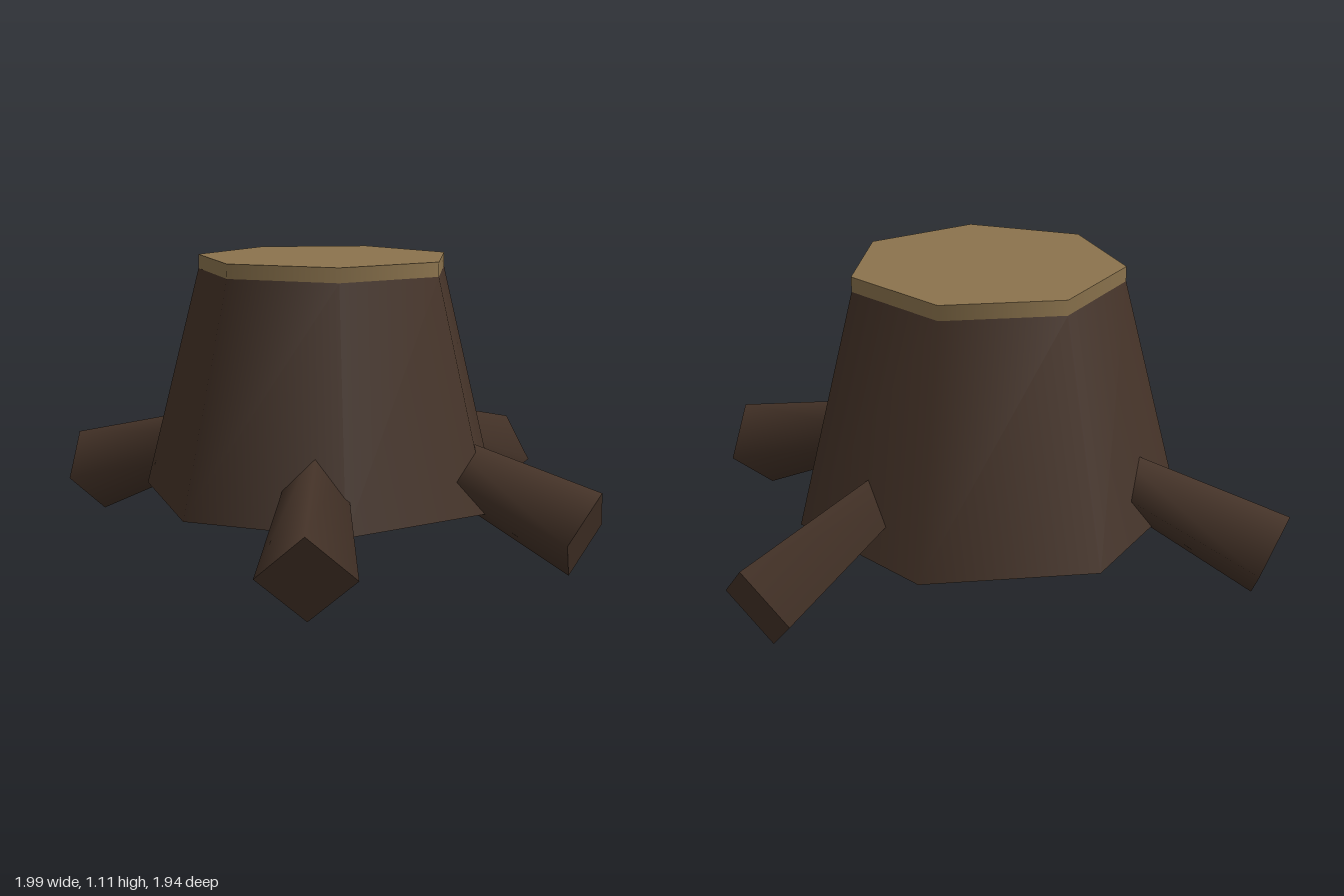
import * as THREE from 'three';

const bark = new THREE.MeshStandardMaterial({ name: 'darkBark', color: 0x453328 });
const wood = new THREE.MeshStandardMaterial({ name: 'cutWood', color: 0x8b734d });

const SIDES = 7;
const BASE_Y = 0.193, CUT_Y = 1.053, TOP_Y = 1.107;

// Upright tapered cylinder between two heights
function drum(name, rTop, rBottom, y0, y1, material) {
  const mesh = new THREE.Mesh(new THREE.CylinderGeometry(rTop, rBottom, y1 - y0, SIDES), material);
  mesh.name = name;
  mesh.position.y = (y0 + y1) / 2;
  return mesh;
}

// Four-sided root, thick end outward, sloping down to the ground
function root(name, degrees) {
  const length = 0.7, tilt = THREE.MathUtils.degToRad(19.6);
  const geometry = new THREE.CylinderGeometry(0.171, 0.097, length, 4);
  geometry.translate(0, -length / 2, 0);      // outer end at the origin
  geometry.rotateX(Math.PI / 2 + tilt);       // axis points outward and down
  geometry.translate(0, 0.161, 1.082);
  const mesh = new THREE.Mesh(geometry, bark);
  mesh.name = name;
  mesh.rotation.y = THREE.MathUtils.degToRad(degrees);
  return mesh;
}

export function createModel() {
  const stump = new THREE.Group();
  stump.name = 'treeStump';
  stump.position.set(0.025, 0, -0.163);

  stump.add(drum('trunk', 0.494, 0.715, BASE_Y, CUT_Y, bark));
  stump.add(drum('cutTop', 0.494, 0.494, CUT_Y, TOP_Y, wood));

  // Roots radiate from the trunk axis
  const roots = { frontRoot: -9, frontLeftRoot: 53.3, backLeftRoot: 128.7, backRightRoot: -119.7 };
  for (const [name, degrees] of Object.entries(roots)) stump.add(root(name, degrees));

  const model = new THREE.Group();
  model.name = 'stumpModel';
  model.add(stump);
  return model;
}
